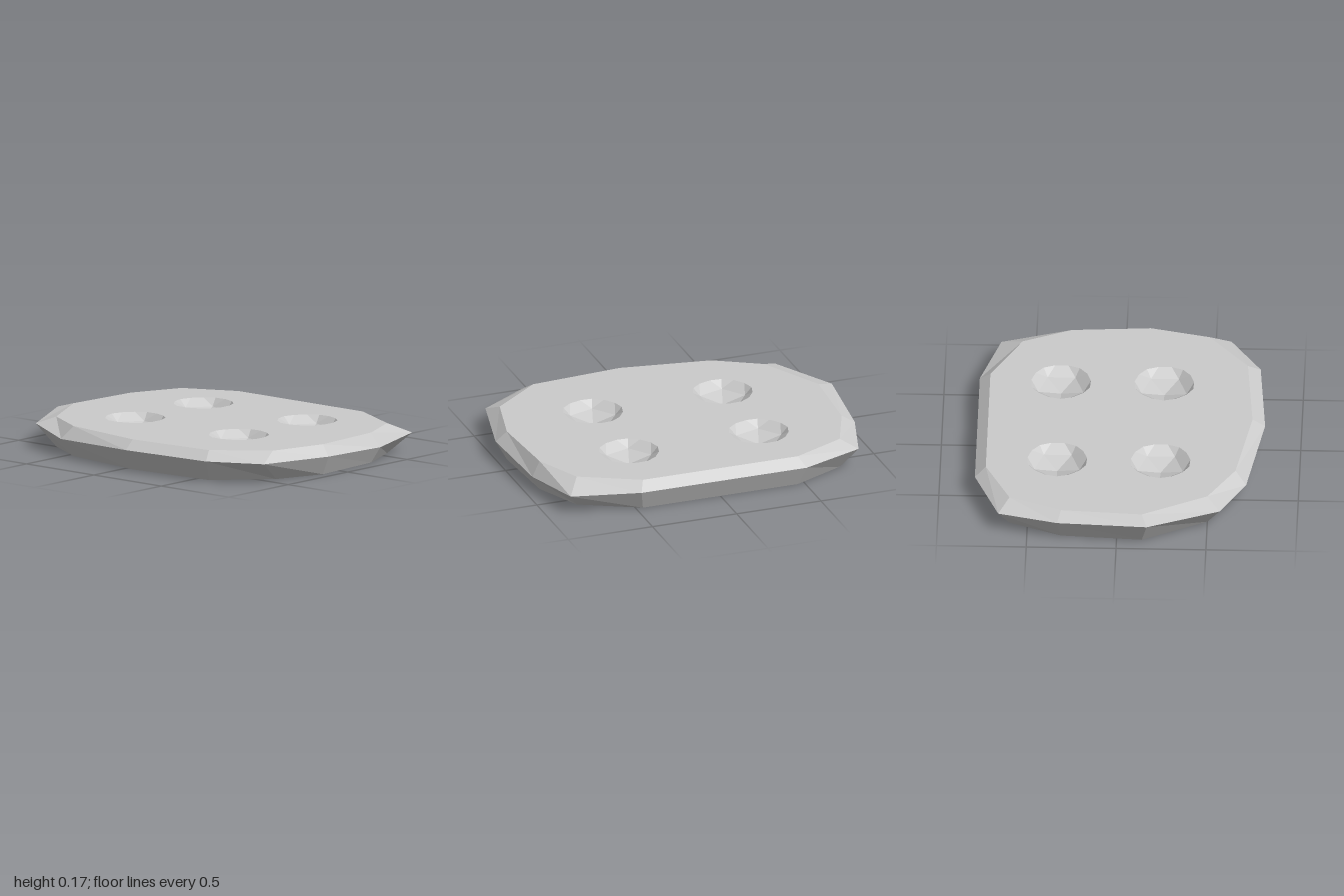
import * as THREE from 'three';

const HEIGHT = 0.17;

// Widest outline: x, y, z (back left corner first, clockwise from above)
const RIM = [
  [-0.49, 0.12, -0.8], [0.49, 0.12, -0.8], [0.87, 0.11, -0.69], [0.96, 0.09, -0.32],
  [1.0, 0.11, 0.16], [0.9, 0.115, 0.59], [0.62, 0.12, 0.76], [0.06, 0.12, 0.8],
  [-0.5, 0.1, 0.71], [-0.81, 0.13, 0.57], [-1.0, 0.145, 0.17], [-0.95, 0.13, -0.33],
  [-0.85, 0.12, -0.66],
];
// Inset outline of the flat faces: x, z
const INSET = [
  [-0.46, -0.74], [0.46, -0.74], [0.79, -0.57], [0.91, -0.3], [0.94, 0.14], [0.86, 0.47],
  [0.58, 0.69], [0.05, 0.73], [-0.46, 0.65], [-0.72, 0.5], [-0.91, 0.14], [-0.88, -0.31],
  [-0.76, -0.6],
];

// Dimple: cap of a faceted ball, with a five-sided floor and a fifteen-sided rim
const BALL = 0.25, CUT = 0.68;
const polar = (r, y, a) => new THREE.Vector3(r * Math.cos(a), y, r * Math.sin(a)).multiplyScalar(BALL);

function dimplePoints() {
  const floor = [], rim = [];
  const step = Math.PI / 5;
  for (let k = 0; k < 5; k++) {
    const a = Math.PI + k * 2 * step;
    const v = polar(0.526, 0.851, a);
    const cut = (p) => v.clone().lerp(p, (v.y - CUT * BALL) / (v.y - p.y));
    floor.push(v);
    rim.push(cut(polar(0.851, 0.526, a - step)), cut(polar(0.894, 0.447, a)), cut(polar(0.851, 0.526, a + step)));
  }
  // Turn the cap over so that it is a hollow below y = 0
  const sink = (p) => p.setY(CUT * BALL - p.y);
  floor.forEach(sink);
  rim.forEach(sink);
  return { pole: new THREE.Vector3(0, (CUT - 1) * BALL, 0), floor, rim };
}

function fromTriangles(points) {
  const g = new THREE.BufferGeometry().setFromPoints(points);
  g.computeVertexNormals();
  return g;
}

function band(lower, upper) {
  const pts = [];
  lower.forEach((lo, i) => {
    const j = (i + 1) % lower.length;
    pts.push(lo, upper[i], upper[j], lo, upper[j], lower[j]);
  });
  return fromTriangles(pts);
}

export function createModel() {
  const group = new THREE.Group();
  const material = new THREE.MeshStandardMaterial({ color: 0xcccccc, flatShading: true });
  const add = (name, geometry) => {
    const mesh = new THREE.Mesh(geometry, material);
    mesh.name = name;
    group.add(mesh);
    return mesh;
  };

  // Bevelled sides of the slab
  const middle = RIM.map((p) => new THREE.Vector3(...p));
  const ring = (y) => INSET.map(([x, z]) => new THREE.Vector3(x, y, z));
  const base = ring(0);
  base[5].set(0.84, 0, 0.42);
  add('lowerBevel', band(base, middle));
  add('upperBevel', band(middle, ring(HEIGHT)));

  // Underside
  const underside = new THREE.Shape(base.map((p) => new THREE.Vector2(p.x, p.z)));
  add('underside', new THREE.ShapeGeometry(underside).rotateX(Math.PI / 2));

  // Hollow facets, facing up
  const { pole, floor, rim } = dimplePoints();
  const pts = [];
  for (let k = 0; k < 5; k++) {
    const n = (k + 1) % 5;
    const [before, mid, after] = rim.slice(3 * k, 3 * k + 3);
    pts.push(pole, floor[n], floor[k]);
    pts.push(floor[k], mid, before, floor[k], after, mid);
    pts.push(floor[k], floor[n], rim[3 * n], floor[k], rim[3 * n], after);
  }
  const hollow = fromTriangles(pts);

  // Top face with four holes, and a dimple in each
  const top = new THREE.Shape(INSET.map(([x, z]) => new THREE.Vector2(x, -z)));
  for (const x of [-0.375, 0.395]) {
    for (const z of [-0.345, 0.23]) {
      top.holes.push(new THREE.Path(rim.map((p) => new THREE.Vector2(x + p.x, -z - p.z))));
      add('dimple', hollow).position.set(x, HEIGHT, z);
    }
  }
  add('topFace', new THREE.ShapeGeometry(top).rotateX(-Math.PI / 2).translate(0, HEIGHT, 0));

  return group;
}
